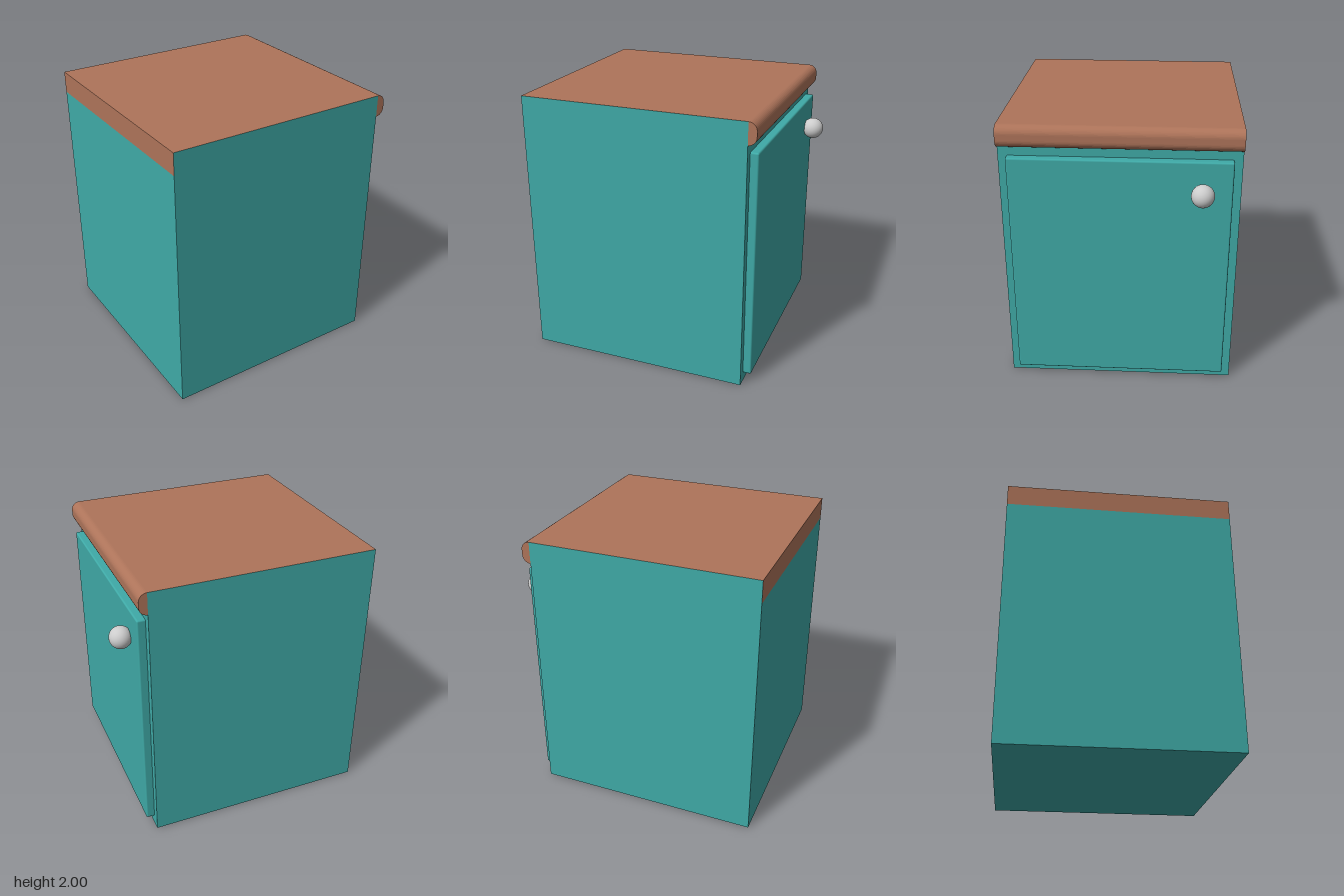
import * as THREE from 'three';
import { RoundedBoxGeometry } from 'three/addons/geometries/RoundedBoxGeometry.js';

export function createModel() {
  const group = new THREE.Group();
  const material = (name, color) => {
    const m = new THREE.MeshStandardMaterial({ color });
    m.name = name;
    return m;
  };
  const teal = material('teal paint', 0x3faaa7);
  const brown = material('brown wood', 0xae745a);
  const silver = material('silver', 0xcccccc);

  const add = (name, geometry, mat, x, y, z) => {
    const mesh = new THREE.Mesh(geometry, mat);
    mesh.name = name;
    mesh.position.set(x, y, z);
    group.add(mesh);
    return mesh;
  };

  // Cabinet body
  add('cabinetBody', new THREE.BoxGeometry(1.66, 1.84, 1.66), teal, -0.1, 0.92, 0);

  // Countertop slab, wooden on top and at the rear edge, painted on the two sides
  add('countertop', new THREE.BoxGeometry(1.66, 0.16, 1.66),
    [brown, brown, brown, brown, teal, teal], -0.1, 1.92, 0);

  // Rounded nosing along the door side of the countertop
  const r = 0.06;
  const profile = new THREE.Shape();
  profile.moveTo(0, 0);
  profile.absarc(0, r, r, -Math.PI / 2, 0, false);
  profile.absarc(0, 0.16 - r, r, 0, Math.PI / 2, false);
  profile.closePath();
  const nosing = new THREE.ExtrudeGeometry(profile, { depth: 1.66, bevelEnabled: false, curveSegments: 5 });
  add('countertopNosing', nosing, brown, 0.73, 1.84, -0.83);

  // Door with softened edges, its back sunk slightly into the body
  add('door', new RoundedBoxGeometry(0.08, 1.705, 1.54, 2, 0.012), teal, 0.75, 0.9225, 0);

  // Round door knob
  add('knob', new THREE.SphereGeometry(0.08, 32, 20), silver, 0.846, 1.557, -0.565);

  return group;
}
